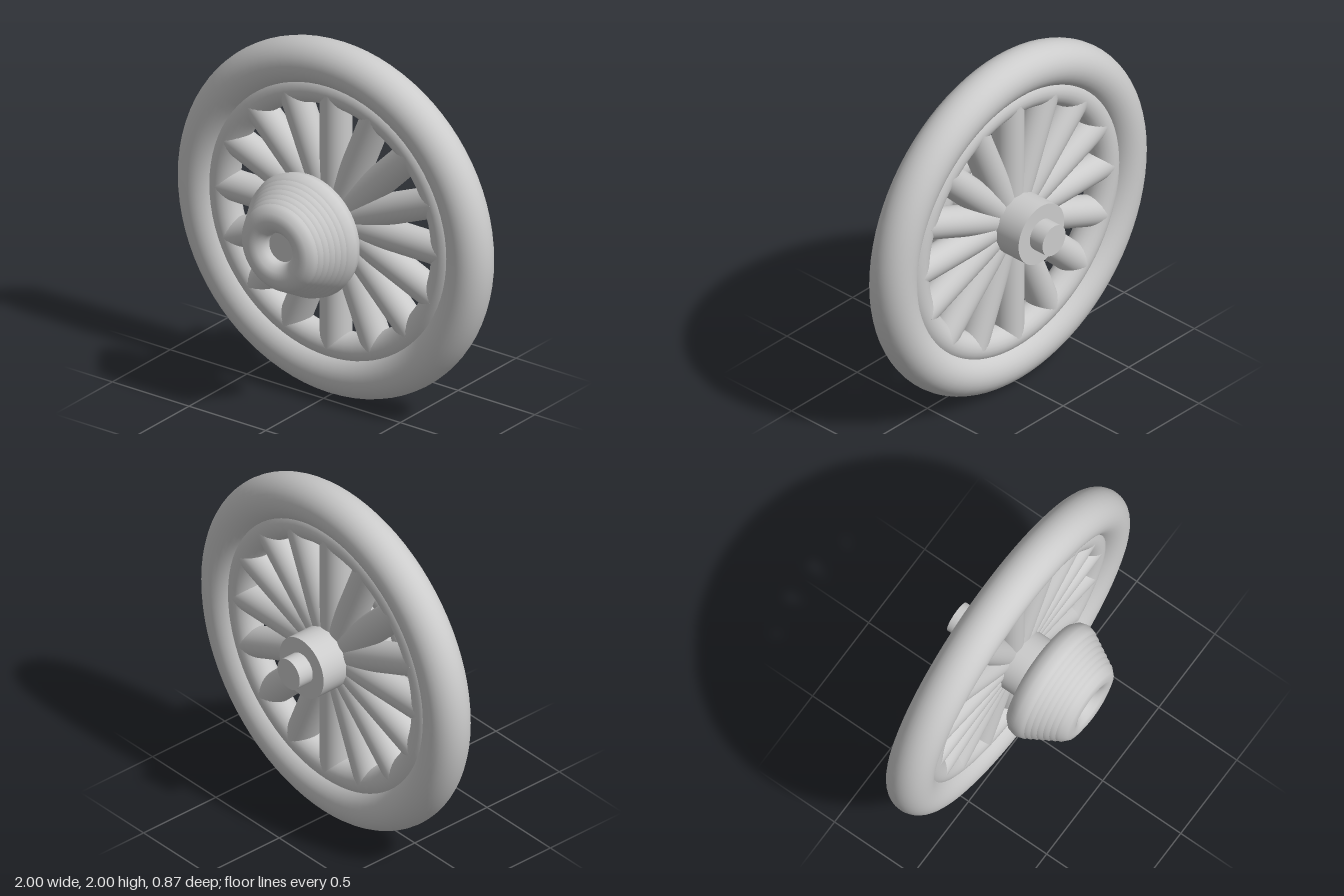
import * as THREE from 'three';

export function createModel() {
  const model = new THREE.Group();
  const wheel = new THREE.Group();
  wheel.name = 'wheel';
  wheel.position.y = 1;
  model.add(wheel);
  const material = new THREE.MeshStandardMaterial({ color: 0xcccccc });
  const wheelZ = -0.107;
  const spokeCount = 16;
  const ringCount = 7;

  const add = (name, geometry, parent = wheel) => {
    const mesh = new THREE.Mesh(geometry, material);
    mesh.name = name;
    parent.add(mesh);
    return mesh;
  };

  // Ring around the wheel axis
  const ring = (name, radius, tube, z, tubeSides, sides, parent) => {
    add(name, new THREE.TorusGeometry(radius, tube, tubeSides, sides), parent).position.z = z;
  };

  // Cylinder along the wheel axis
  const rod = (name, radius, back, front) => {
    const geometry = new THREE.CylinderGeometry(radius, radius, front - back, 48);
    geometry.rotateX(Math.PI / 2);
    add(name, geometry).position.z = (front + back) / 2;
  };

  // Tyre and the thinner rim that takes the spoke ends
  ring('tyre', 0.875, 0.125, wheelZ, 32, 80);
  ring('rim', 0.726, 0.085, wheelZ, 24, 80);

  // Round spokes, buried in the hub and the rim
  const spokes = new THREE.Group();
  spokes.name = 'spokes';
  spokes.position.z = wheelZ;
  wheel.add(spokes);
  const spokeGeometry = new THREE.CylinderGeometry(0.085, 0.085, 0.63, 32);
  spokeGeometry.translate(0, 0.415, 0);
  for (let i = 0; i < spokeCount; i++) {
    add('spoke', spokeGeometry, spokes).rotation.z = (i / spokeCount) * Math.PI * 2;
  }

  // Hub and axle
  rod('hub', 0.174, -0.345, 0.2);
  rod('axle', 0.088, -0.435, 0.36);

  // Stepped hub cap: rings that shrink towards the front
  const cap = new THREE.Group();
  cap.name = 'hubCap';
  wheel.add(cap);
  for (let i = 0; i < ringCount; i++) {
    const t = i / (ringCount - 1);
    ring('capRing', 0.26 - 0.095 * t, 0.086, 0.175 + 0.172 * t, 12, 64, cap);
  }

  return model;
}
